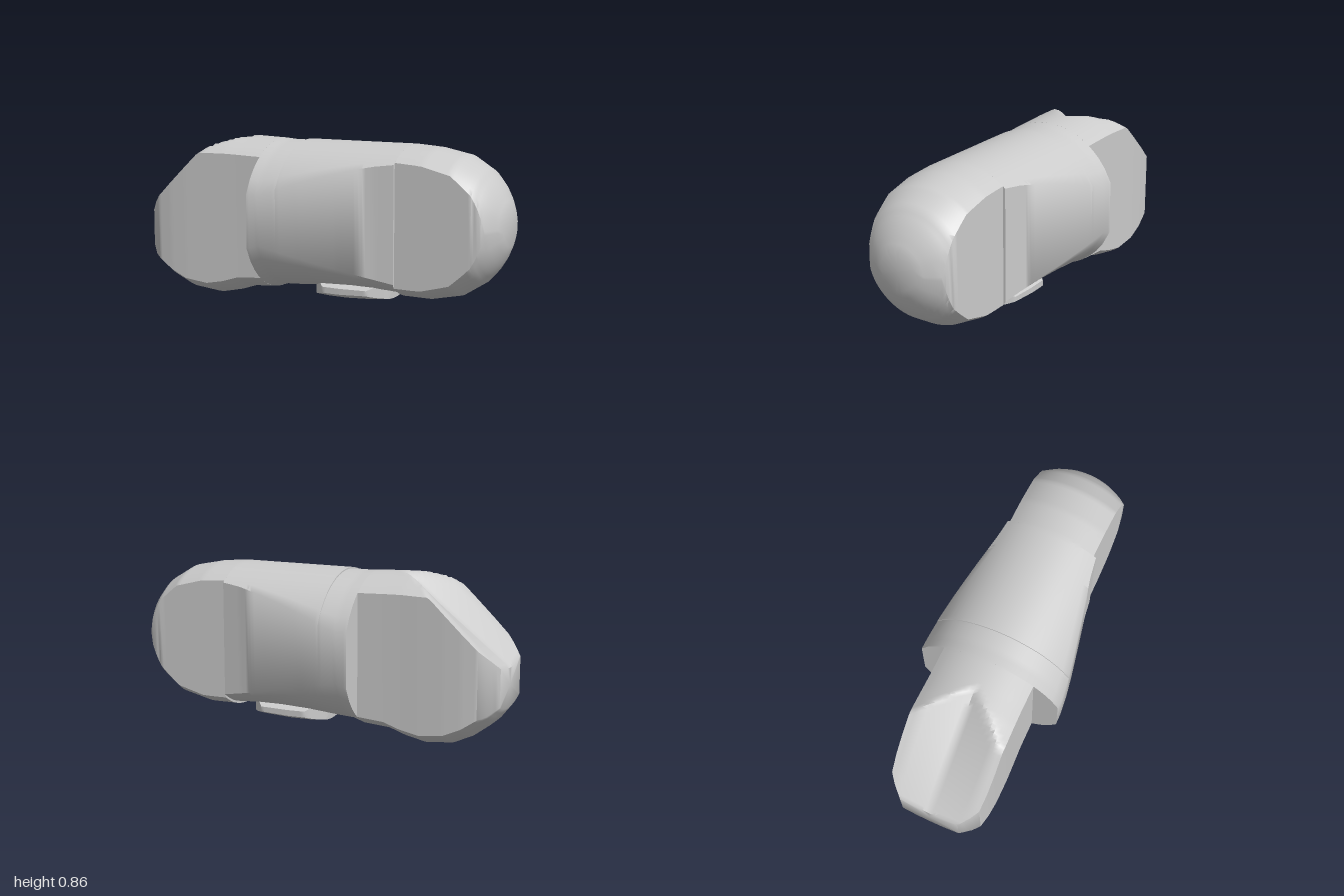
import * as THREE from 'three';
import { toCreasedNormals } from 'three/addons/utils/BufferGeometryUtils.js';

const HALF = 10; // spans across each half of the width

// height of the V-shaped slanted groove at the -x end
function grooveHeight(x, z) {
  const centre = 0.42 + (x + 1) * 0.772;
  const side = 0.5 + (x + 0.95) * 0.955;
  return THREE.MathUtils.lerp(centre, side, Math.min(Math.abs(z) / 0.2, 1));
}

// one cross-section: arched top and bottom, clipped flat at z = +-w
function section([x, w, top, bottom], radius, cut) {
  const r = radius(x, top, bottom);
  const half = Math.min(w, r * 0.995);
  const ring = [];
  const drop = (z) => r - Math.sqrt(r * r - z * z);
  for (let k = -HALF; k <= HALF; k++) {
    const z = (-half * k) / HALF;
    const y = top - drop(z);
    ring.push([x, cut ? Math.min(y, grooveHeight(x, z)) : y, z]);
  }
  for (let k = -HALF; k <= HALF; k++) {
    const z = (half * k) / HALF;
    ring.push([x, bottom + drop(z), z]);
  }
  return ring;
}

// skins the rows [x, halfWidth, top, bottom]; repeated x makes a sharp step
function loft(rows, radius, cut = false) {
  const rings = [];
  rows.forEach((row, i) => {
    rings.push(section(row, radius, cut));
    const next = rows[i + 1];
    if (!next) return;
    const steps = Math.ceil((next[0] - row[0]) / 0.02);
    for (let s = 1; s < steps; s++) {
      rings.push(section(row.map((v, c) => v + ((next[c] - v) * s) / steps), radius, cut));
    }
  });
  const n = rings[0].length;
  const pos = rings.flat(2);
  const index = [];
  for (let i = 0; i < rings.length - 1; i++) {
    for (let j = 0; j < n; j++) {
      const a = i * n + j, b = i * n + ((j + 1) % n);
      index.push(a, a + n, b, b, a + n, b + n);
    }
  }
  // end caps
  [0, rings.length - 1].forEach((i) => {
    const centre = pos.length / 3;
    const mean = [0, 1, 2].map((c) => rings[i].reduce((sum, p) => sum + p[c], 0) / n);
    pos.push(...mean);
    for (let j = 0; j < n; j++) {
      const a = i * n + j, b = i * n + ((j + 1) % n);
      index.push(centre, ...(i === 0 ? [a, b] : [b, a]));
    }
  });
  const geometry = new THREE.BufferGeometry();
  geometry.setAttribute('position', new THREE.Float32BufferAttribute(pos, 3));
  geometry.setIndex(index);
  return toCreasedNormals(geometry, 0.9);
}

export function createModel() {
  const group = new THREE.Group();
  const material = new THREE.MeshStandardMaterial({ color: 0xcccccc });
  const add = (name, geometry) => {
    const mesh = new THREE.Mesh(geometry, material);
    mesh.name = name;
    group.add(mesh);
  };

  // slanted nose with bulging underside, flared middle, rounded tail
  const bodyRows = [
    [-1, 0.16, 0.867, 0.22],
    [-0.95, 0.21, 0.867, 0.155],
    [-0.91, 0.24, 0.867, 0.12],
    [-0.83, 0.248, 0.867, 0.06],
    [-0.74, 0.25, 0.867, 0.018],
    [-0.61, 0.248, 0.867, 0.004],
    [-0.51, 0.245, 0.867, 0.025],
    [-0.42, 0.243, 0.863, 0.055],
    [-0.28, 0.243, 0.858, 0.065],
    [-0.28, 0.38, 0.858, 0.065],
    [-0.22, 0.38, 0.853, 0.085],
    [-0.12, 0.367, 0.853, 0.09],
    [-0.12, 0.367, 0.86, 0.09],
    [0, 0.345, 0.86, 0.1],
    [0.2, 0.302, 0.86, 0.108],
    [0.38, 0.262, 0.86, 0.105],
    [0.48, 0.247, 0.86, 0.098],
    [0.48, 0.234, 0.86, 0.086],
    [0.62, 0.234, 0.85, 0.084],
    [0.77, 0.234, 0.82, 0.115],
    [0.88, 0.234, 0.755, 0.185],
    [0.93, 0.23, 0.7, 0.24],
    [0.96, 0.215, 0.655, 0.285],
    [0.985, 0.17, 0.605, 0.335],
    [1, 0.1, 0.57, 0.375],
  ];
  const bodyRadius = (x, top, bottom) => Math.min(0.41, x > 0.6 ? (top - bottom) * 0.53 : 0.41);
  add('body', loft(bodyRows, bodyRadius, true));

  // shallow pad under the middle
  const padRows = [
    [-0.03, 0.09, 0.16, 0.052],
    [0.05, 0.18, 0.16, 0.045],
    [0.15, 0.183, 0.16, 0.043],
    [0.3, 0.18, 0.16, 0.05],
    [0.38, 0.09, 0.16, 0.06],
  ];
  add('bottomPad', loft(padRows, () => 0.41));

  return group;
}
